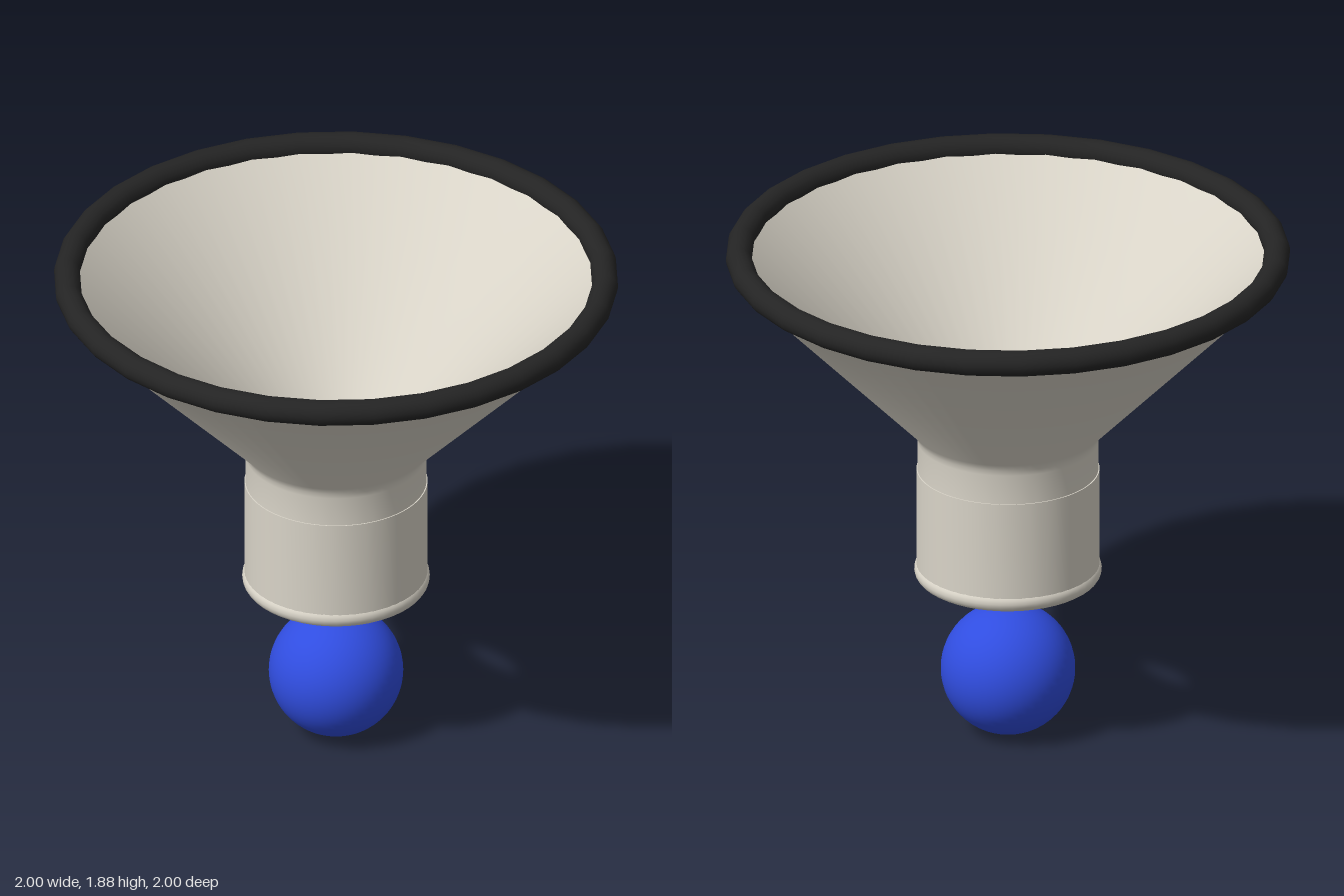
import * as THREE from 'three';
import { toCreasedNormals } from 'three/addons/utils/BufferGeometryUtils.js';

export function createModel() {
  const group = new THREE.Group();
  const material = (name, color) => {
    const m = new THREE.MeshStandardMaterial({ color });
    m.name = name;
    return m;
  };
  const cream = material('cream', 0xd9d4c8);
  const black = material('black', 0x242424);
  const blue = material('blue', 0x304de0);

  const add = (name, geometry, mat, y = 0) => {
    const mesh = new THREE.Mesh(geometry, mat);
    mesh.name = name;
    mesh.position.y = y;
    group.add(mesh);
  };
  const ring = (radius, tube, segments) =>
    new THREE.TorusGeometry(radius, tube, 16, segments).rotateX(Math.PI / 2);

  // Hollow funnel: outside from the neck up, over the top, then back down inside
  const profile = [
    [0.27, 0.62], [0.324, 0.62], [0.324, 1.01], [0.32, 1.01], [0.32, 1.12],
    [0.323, 1.14], [0.335, 1.165], [0.955, 1.80], [0.955, 1.83],
    [0.915, 1.83], [0.285, 1.18], [0.273, 1.16], [0.27, 1.13], [0.27, 0.62],
  ].map(([r, y]) => new THREE.Vector2(r, y));
  add('funnel', toCreasedNormals(new THREE.LatheGeometry(profile, 64), 0.7), cream);

  // Rolled edges at the mouth and the neck
  add('mouthRim', ring(0.953, 0.046, 32), black, 1.833);
  add('neckLip', ring(0.297, 0.035, 48), cream, 0.625);

  // Ball below the neck
  add('ball', new THREE.SphereGeometry(0.238, 48, 32), blue, 0.239);

  return group;
}
